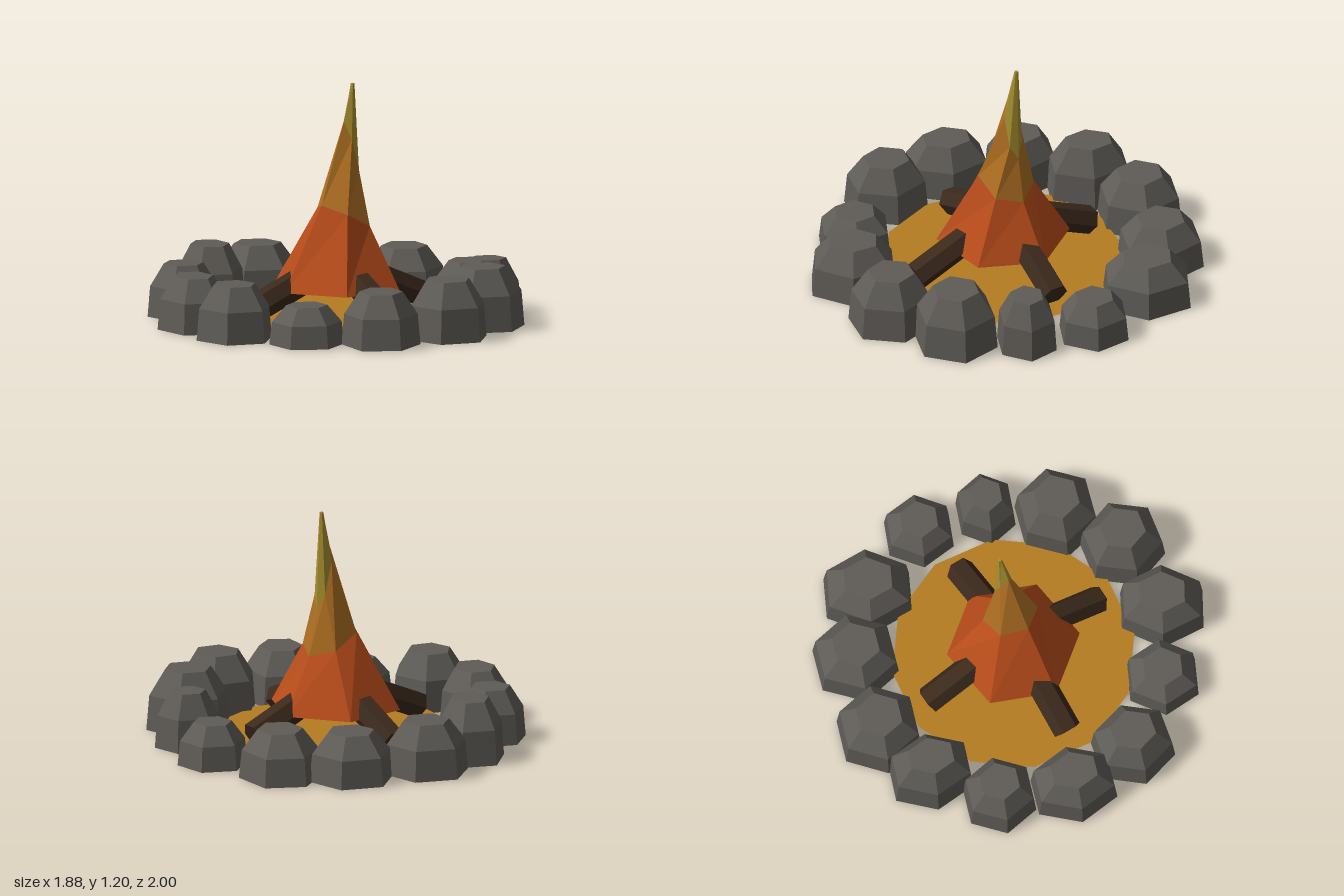
import * as THREE from 'three';

const mat = (color, side = THREE.FrontSide) =>
  new THREE.MeshStandardMaterial({ color, flatShading: true, side });

// Ring stones: x, z, half length, half depth, turn in degrees, height
const STONES = [
  [0.10, -0.79, 0.22, 0.23, -4, 0.25],
  [0.44, -0.67, 0.21, 0.25, 5, 0.25],
  [0.72, -0.36, 0.18, 0.19, 1, 0.22],
  [0.77, -0.01, 0.17, 0.16, -1, 0.29],
  [0.69, 0.34, 0.22, 0.22, -5, 0.31],
  [0.47, 0.64, 0.21, 0.22, -12, 0.30],
  [0.11, 0.78, 0.20, 0.24, 8, 0.27],
  [-0.26, 0.72, 0.19, 0.20, 4, 0.20],
  [-0.60, 0.51, 0.20, 0.22, -10, 0.28],
  [-0.76, 0.18, 0.185, 0.235, -4, 0.27],
  [-0.755, -0.20, 0.185, 0.195, -3, 0.27],
  [-0.575, -0.52, 0.18, 0.23, -2, 0.31],
  [-0.30, -0.74, 0.22, 0.225, -3, 0.27],
];

// Flame cross-sections: centre, radius and slope of the ring along x and z
const RINGS = [
  { x: 0, y: 0.17, z: 0, r: 0.34, sx: 0, sz: 0 },
  { x: 0.035, y: 0.525, z: -0.01, r: 0.142, sx: -0.45, sz: 0.22 },
  { x: 0.075, y: 0.85, z: -0.04, r: 0.045, sx: -3.2, sz: 1.6 },
  { x: 0.087, y: 1.2, z: -0.055, r: 0.01, sx: 0, sz: 0 },
];

// Six-sided tier between two tilted rings
function flameTier(lower, upper) {
  const g = new THREE.CylinderGeometry(1, 1, 1, 6);
  const p = g.attributes.position;
  for (let i = 0; i < p.count; i++) {
    const k = p.getY(i) > 0 ? upper : lower;
    const dx = p.getX(i) * k.r, dz = p.getZ(i) * k.r;
    p.setXYZ(i, k.x + dx, k.y + k.sx * dx + k.sz * dz, k.z + dz);
  }
  g.computeVertexNormals();
  return g;
}

export function createModel() {
  const group = new THREE.Group();
  const add = (name, geometry, material) => {
    const m = new THREE.Mesh(geometry, material);
    m.name = name;
    group.add(m);
    return m;
  };

  // Sandy ground disc
  const ground = add('ground', new THREE.CircleGeometry(0.62, 12), mat(0xb57c20, THREE.DoubleSide));
  ground.rotation.x = -Math.PI / 2;
  ground.position.y = 0.03;

  // Stones: bevelled six-sided shells, open underneath
  const profile = [[1, 0], [0.93, 0.58], [0.55, 1], [0, 1]].map(([x, y]) => new THREE.Vector2(x, y));
  const stoneGeo = new THREE.LatheGeometry(profile, 6).rotateY(Math.PI / 2);
  const stoneMat = mat(0x5f5c57, THREE.DoubleSide);
  STONES.forEach(([x, z, a, b, turn, h], i) => {
    const s = add('stone' + (i + 1), stoneGeo, stoneMat);
    s.position.set(x, 0.005, z);
    s.scale.set(a, h, b);
    s.rotation.y = -THREE.MathUtils.degToRad(turn);
  });

  // Four logs, each rising from its outer foot into the flame
  const length = 0.48, lean = 0.41;
  const logGeo = new THREE.CylinderGeometry(0.073, 0.073, length, 6)
    .translate(0, length / 2, 0)
    .rotateZ(lean - Math.PI / 2)
    .translate(-0.51, 0.085, 0);
  const logMat = mat(0x3b291c);
  for (let i = 0; i < 4; i++) {
    const log = add('log' + (i + 1), logGeo, logMat);
    log.rotation.y = THREE.MathUtils.degToRad(22.5 + 90 * i);
  }

  // Flame tiers, from hot base to tip
  [['flameBase', 0xb84c1a], ['flameMiddle', 0xb07022], ['flameTip', 0xa89030]].forEach(([name, color], i) => {
    add(name, flameTier(RINGS[i], RINGS[i + 1]), mat(color, THREE.DoubleSide));
  });

  return group;
}
